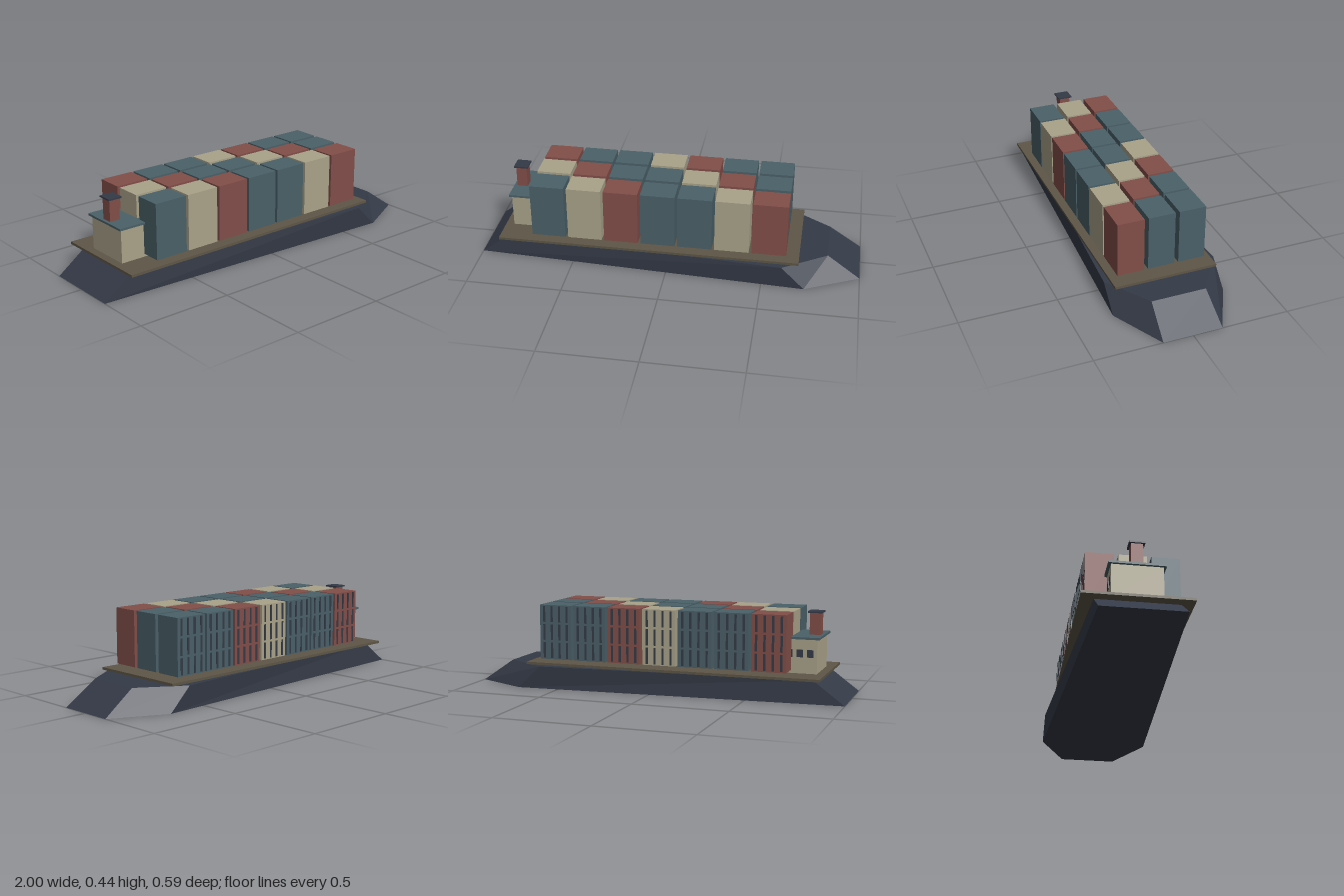
import * as THREE from 'three';

const paint = (name, color) => {
  const m = new THREE.MeshStandardMaterial({ color });
  m.name = name;
  return m;
};

// Box given by its min and max corners
function box(name, material, [x0, y0, z0], [x1, y1, z1]) {
  const mesh = new THREE.Mesh(new THREE.BoxGeometry(x1 - x0, y1 - y0, z1 - z0), material);
  mesh.position.set((x0 + x1) / 2, (y0 + y1) / 2, (z0 + z1) / 2);
  mesh.name = name;
  return mesh;
}

// Solid between two matching outlines of [x, z] points
function loft(lower, upper, height) {
  const b = lower.map(([x, z]) => [x, 0, z]);
  const t = upper.map(([x, z]) => [x, height, z]);
  const n = b.length;
  const pos = [];
  const tri = (...pts) => pts.forEach((p) => pos.push(...p));
  for (let i = 0; i < n; i++) {
    const j = (i + 1) % n;
    tri(b[i], b[j], t[j]);
    tri(b[i], t[j], t[i]);
    if (i > 0 && j > 0) {
      tri(t[0], t[i], t[j]);
      tri(b[0], b[j], b[i]);
    }
  }
  const geo = new THREE.BufferGeometry();
  geo.setAttribute('position', new THREE.Float32BufferAttribute(pos, 3));
  geo.computeVertexNormals();
  return geo;
}

const mirrorZ = (half) => [...half, ...half.slice().reverse().map(([x, z]) => [x, -z])];

export function createModel() {
  const navy = paint('navy', 0x343a47);
  const brown = paint('deckBrown', 0x5e5646);
  const teal = paint('teal', 0x4a6068);
  const red = paint('rustRed', 0x824e49);
  const beige = paint('beige', 0xaaa38a);

  const ship = new THREE.Group();
  ship.name = 'containerShip';

  // Hull, longer at the base than at the top
  const hull = new THREE.Mesh(loft(
    mirrorZ([[-1, 0.205], [0.72, 0.294], [1, 0.153]]),
    mirrorZ([[-0.84, 0.205], [0.6, 0.294], [0.83, 0.142]]),
    0.118), navy);
  hull.name = 'hull';
  ship.add(hull);

  ship.add(box('deck', brown, [-0.885, 0.122, -0.268], [0.685, 0.135, 0.268]));

  // Cabin, roof and funnel at the stern
  const bridge = new THREE.Group();
  bridge.name = 'bridge';
  bridge.add(
    box('cabin', beige, [-0.842, 0.135, -0.125], [-0.614, 0.308, 0.125]),
    box('roof', teal, [-0.855, 0.308, -0.138], [-0.601, 0.319, 0.138]),
    box('funnel', red, [-0.838, 0.319, -0.029], [-0.782, 0.43, 0.029]),
    box('funnelCap', navy, [-0.847, 0.43, -0.039], [-0.773, 0.438, 0.039]));
  for (let i = 0; i < 4; i++) {
    const x = -0.808 + i * 0.053;
    bridge.add(box('window', navy, [x - 0.016, 0.217, -0.128], [x + 0.016, 0.255, -0.124]));
  }
  ship.add(bridge);

  // Container stacks: three rows of seven, with slats on their rear sides
  const colours = [teal, beige, red, teal];
  const cargo = new THREE.Group();
  cargo.name = 'cargo';
  for (let row = 0; row < 3; row++) {
    for (let col = 0; col < 7; col++) {
      const x = -0.622 + col * 0.192;
      const z = 0.161 - row * 0.161;
      const stack = new THREE.Group();
      stack.name = 'containerStack';
      stack.add(box('container', colours[(row + col) % 4],
        [x - 0.089, 0.15, z - 0.07], [x + 0.089, 0.438, z + 0.07]));
      for (let tier = 0; tier < 3; tier++) {
        const y = 0.198 + tier * 0.096;
        for (let k = 0; k < 4; k++) {
          const sx = x + (k - 1.5) * 0.043;
          stack.add(box('slat', navy,
            [sx - 0.006, y - 0.042, z - 0.072], [sx + 0.006, y + 0.042, z - 0.069]));
        }
      }
      cargo.add(stack);
    }
  }
  ship.add(cargo);
  return ship;
}
